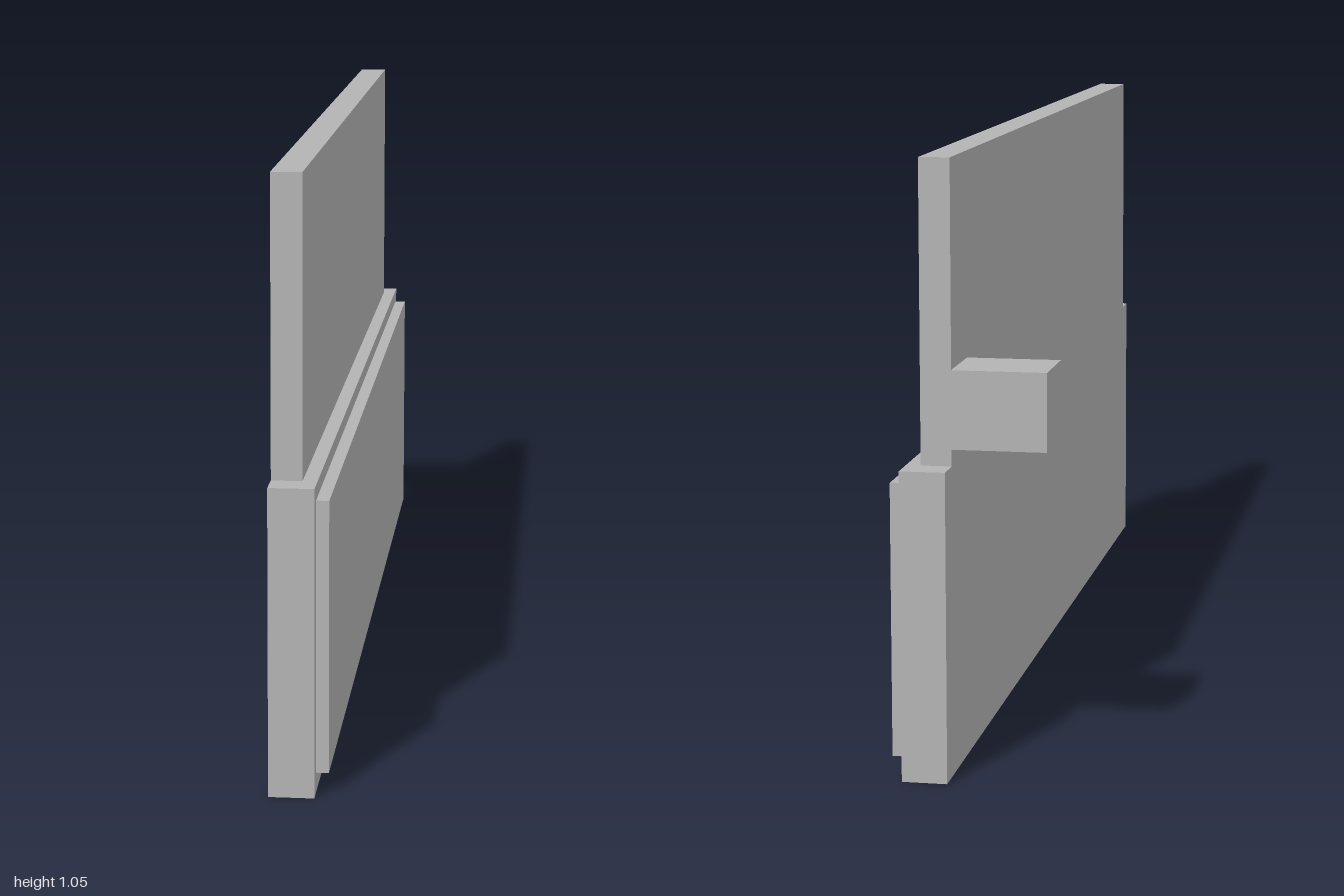
import * as THREE from 'three';

export function createModel() {
  const group = new THREE.Group();
  group.name = 'door';
  const grey = new THREE.MeshStandardMaterial({ color: 0xb3b3b3 });
  grey.name = 'light grey';

  // Box given by its lower and upper limits on each axis
  function block(name, [x0, x1], [y0, y1], [z0, z1]) {
    const mesh = new THREE.Mesh(new THREE.BoxGeometry(x1 - x0, y1 - y0, z1 - z0), grey);
    mesh.position.set((x0 + x1) / 2, (y0 + y1) / 2, (z0 + z1) / 2);
    mesh.name = name;
    group.add(mesh);
  }

  // Lower door body with its raised outer panel
  block('doorBody', [0.03, 0.108], [0, 0.533], [-1, 1]);
  block('outerPanel', [0.108, 0.13], [0.036, 0.507], [-0.973, 0.973]);

  // Window pane standing on the body
  block('windowPane', [0.03, 0.083], [0.533, 1.048], [-0.946, 0.946]);

  // Side mirror housing and its thin glass
  block('mirrorHousing', [-0.132, 0.03], [0.562, 0.696], [-0.949, -0.816]);
  block('mirrorGlass', [-0.119, 0.015], [0.575, 0.685], [-0.816, -0.81]);

  return group;
}
